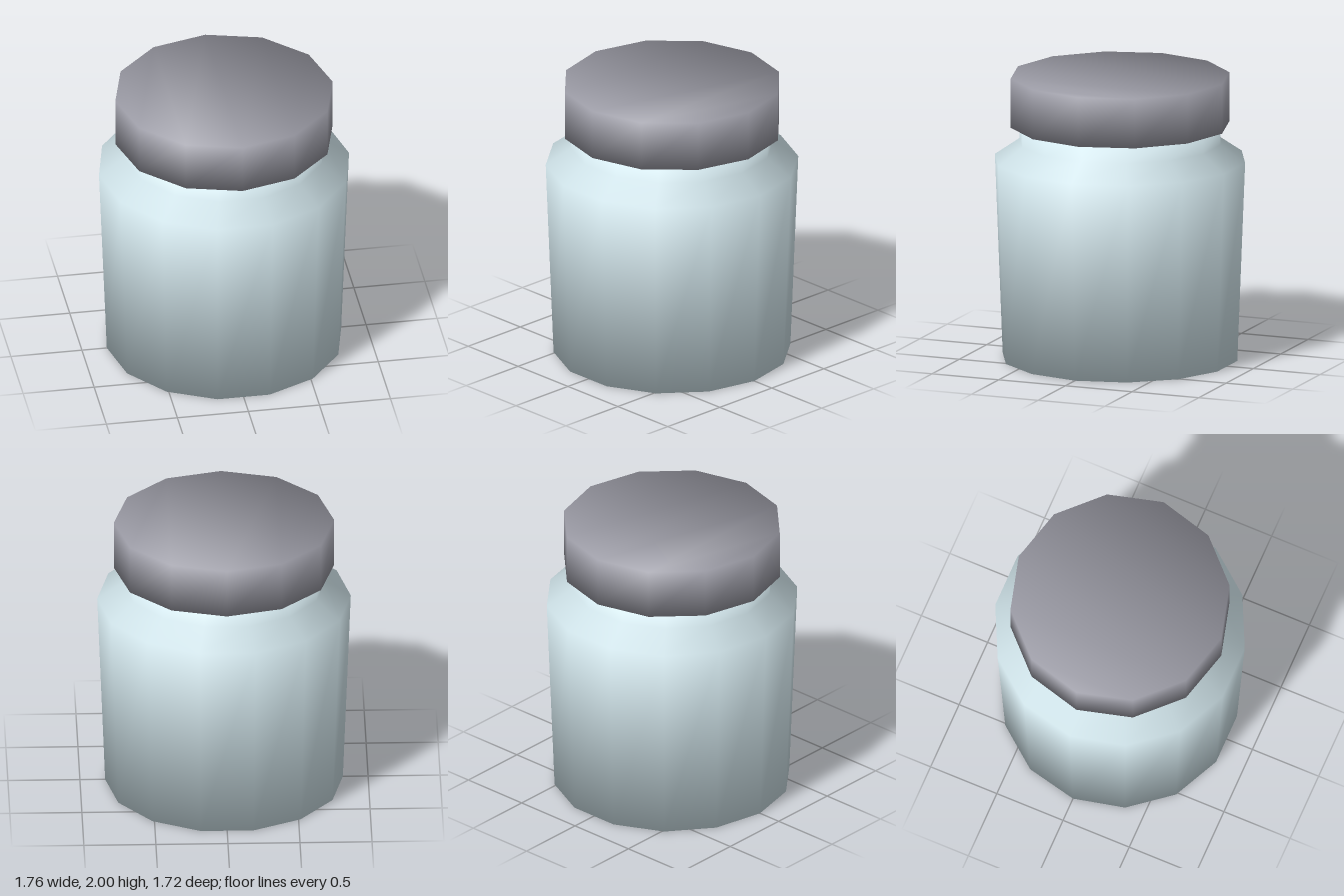
import * as THREE from 'three';

// Closed solid of stacked n-sided rings [radius, y], with soft normals shared around every edge.
function ringSolid(profile, n) {
  const pos = [], nor = [], idx = [];
  const last = profile.length - 1;

  // Outward direction of each profile segment, with flat caps before and after
  const dirs = [[0, -1]];
  for (let k = 0; k < last; k++) {
    const [r0, y0] = profile[k], [r1, y1] = profile[k + 1];
    const len = Math.hypot(y1 - y0, r1 - r0);
    dirs.push([(y1 - y0) / len, (r0 - r1) / len]);
  }
  dirs.push([0, 1]);

  profile.forEach(([r, y], k) => {
    const out = dirs[k][0] + dirs[k + 1][0], up = dirs[k][1] + dirs[k + 1][1];
    const len = Math.hypot(out, up);
    for (let i = 0; i < n; i++) {
      const a = (i / n) * Math.PI * 2, c = Math.cos(a), s = -Math.sin(a);
      pos.push(r * c, y, r * s);
      nor.push((out * c) / len, up / len, (out * s) / len);
    }
  });

  // Side walls
  for (let k = 0; k < last; k++) {
    for (let i = 0; i < n; i++) {
      const a = k * n + i, b = k * n + ((i + 1) % n);
      idx.push(a, b, b + n, a, b + n, a + n);
    }
  }

  // Top and bottom caps, zigzagged across the polygon
  const cap = (a, b, c) => {
    const t = last * n;
    idx.push(t + a, t + b, t + c, a, c, b);
  };
  for (let lo = 0, hi = n - 1; hi - lo > 1; lo++, hi--) {
    cap(lo, lo + 1, hi);
    if (hi - lo > 2) cap(lo + 1, hi - 1, hi);
  }

  const geo = new THREE.BufferGeometry();
  geo.setAttribute('position', new THREE.Float32BufferAttribute(pos, 3));
  geo.setAttribute('normal', new THREE.Float32BufferAttribute(nor, 3));
  geo.setIndex(idx);
  return geo;
}

function part(name, profile, sides, color) {
  const mesh = new THREE.Mesh(
    ringSolid(profile, sides),
    new THREE.MeshStandardMaterial({ color })
  );
  mesh.name = name;
  return mesh;
}

export function createModel() {
  const group = new THREE.Group();
  group.name = 'jar';

  // Tapered body, sloping shoulder and straight neck
  group.add(part('jarBody', [[0.825, 0], [0.88, 1.41], [0.705, 1.53], [0.705, 1.65]], 14, 0xd4e8ee));

  // Wide flat lid resting on the neck
  group.add(part('lid', [[0.765, 1.65], [0.765, 2]], 12, 0x9a9aa4));

  return group;
}
